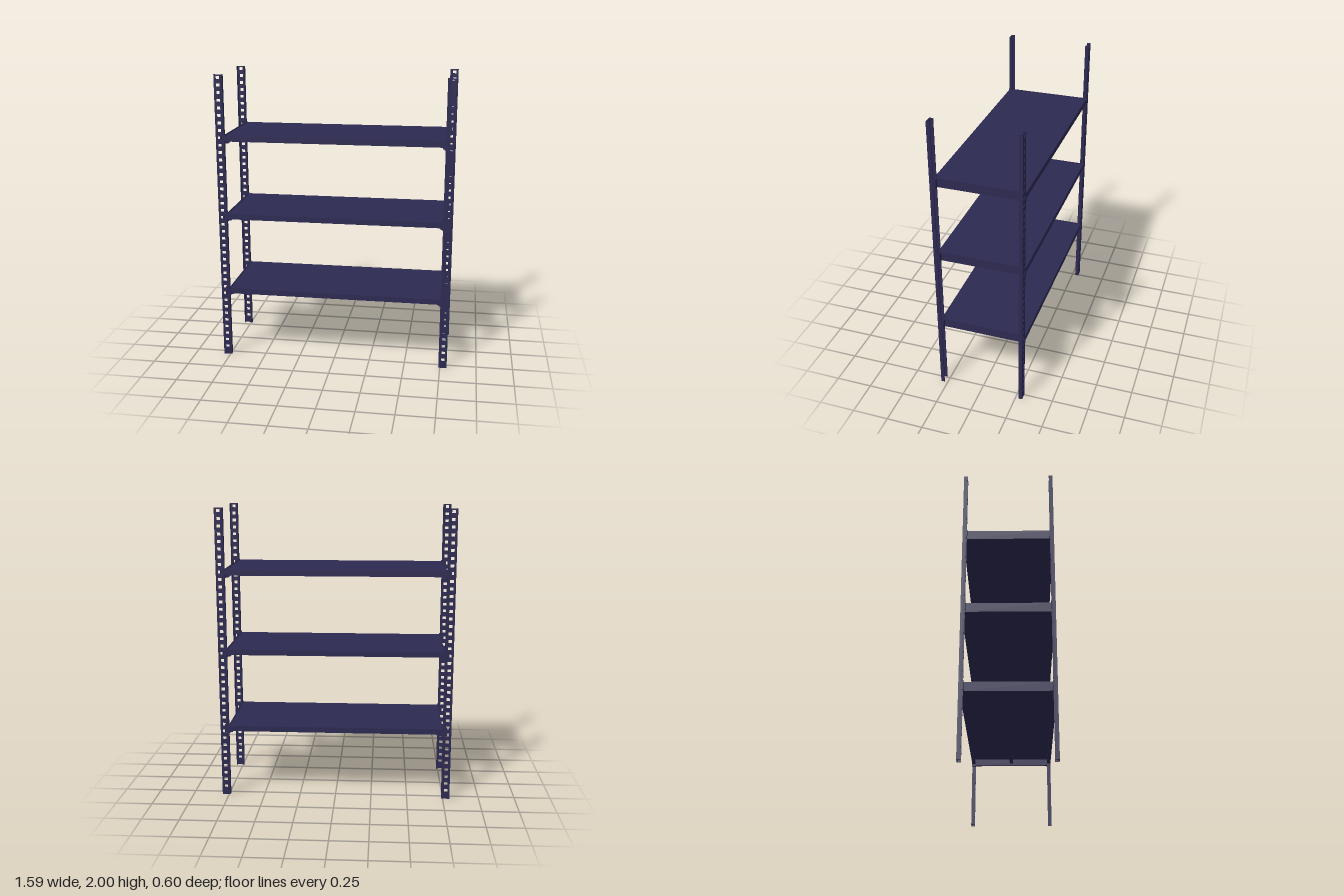
import * as THREE from 'three';

const paint = new THREE.MeshStandardMaterial({ color: 0x2d2a52 });
const T = 0.004; // sheet thickness

// Box given by its minimum and maximum corners
function sheet(name, x0, x1, y0, y1, z0, z1) {
  const mesh = new THREE.Mesh(new THREE.BoxGeometry(x1 - x0, y1 - y0, z1 - z0), paint);
  mesh.position.set((x0 + x1) / 2, (y0 + y1) / 2, (z0 + z1) / 2);
  mesh.name = name;
  return mesh;
}

// Perforated face of a post: one flat strip with a column of square holes
function perforatedFace() {
  const shape = new THREE.Shape();
  shape.moveTo(0.74, 0).lineTo(0.797, 0).lineTo(0.797, 2).lineTo(0.74, 2).closePath();
  for (let i = 0; i < 39; i++) {
    const y = 0.062 + i * 0.0505;
    const hole = new THREE.Path();
    hole.moveTo(0.758, y - 0.01).lineTo(0.758, y + 0.01)
      .lineTo(0.782, y + 0.01).lineTo(0.782, y - 0.01).closePath();
    shape.holes.push(hole);
  }
  return new THREE.ExtrudeGeometry(shape, { depth: T, bevelEnabled: false });
}

// Channel post in the +x, +z corner, open towards the inside of the rack
function post() {
  const g = new THREE.Group();
  const face = new THREE.Mesh(perforatedFace(), paint);
  face.position.z = 0.298 - T;
  face.name = 'perforatedFace';
  g.add(face);
  g.add(sheet('outerFlange', 0.797 - T, 0.797, 0, 2, 0.273, 0.298 - T));
  g.add(sheet('innerFlange', 0.74, 0.74 + T, 0, 2, 0.273, 0.298 - T));
  return g;
}

// Thin clip that hooks an end beam into the post
function clip(y0, y1) {
  const g = new THREE.Group();
  g.name = 'beamClip';
  g.add(sheet('clipInner', 0.736, 0.74, y0, y1, 0.272, 0.3));
  g.add(sheet('clipBack', 0.74, 0.768, y0, y1, 0.271, 0.273));
  g.add(sheet('clipOuter', 0.766, 0.768, y0, y1, 0.273, 0.294));
  g.add(sheet('clipFront', 0.74, 0.758, y0 + 0.012, y1 - 0.012, 0.298, 0.3));
  return g;
}

// Folded steel shelf with its top surface at y
function shelf(y) {
  const g = new THREE.Group();
  g.name = 'shelf';
  g.add(sheet('panel', -0.733, 0.733, y - T, y, -0.298, 0.298));
  g.add(sheet('centreStiffener', -0.738, 0.738, y - 0.034, y - T, -0.012, 0.012));
  for (const s of [-1, 1]) {
    const across = (name, x, y0, y1, a, b) =>
      g.add(sheet(name, -x, x, y0, y1, Math.min(s * a, s * b), Math.max(s * a, s * b)));
    across('longLip', 0.738, y - 0.038, y - T, 0.294, 0.298);
    across('longLipReturn', 0.733, y - 0.038, y - 0.034, 0.272, 0.294);
    // Taller beam closing each short end, with a small inward foot
    const along = (name, a, b, y0, y1, z) =>
      g.add(sheet(name, Math.min(s * a, s * b), Math.max(s * a, s * b), y0, y1, -z, z));
    along('endBeam', 0.733, 0.738, y - 0.055, y + 0.007, 0.293);
    along('endBeamFoot', 0.72, 0.733, y - 0.055, y - 0.051, 0.272);
  }
  return g;
}

export function createModel() {
  const rack = new THREE.Group();
  rack.name = 'shelvingRack';
  const levels = [0.505, 1.048, 1.591];

  // Four corners: rotate for the diagonal pair, mirror the channel in depth
  for (const sx of [-1, 1]) for (const sz of [-1, 1]) {
    const corner = new THREE.Group();
    corner.name = (sz > 0 ? 'front' : 'back') + (sx > 0 ? 'Left' : 'Right') + 'Post';
    corner.add(post());
    for (const y of levels) corner.add(clip(y - 0.055, y + 0.007));
    corner.scale.set(sx, 1, sz);
    rack.add(corner);
  }

  for (const y of levels) rack.add(shelf(y));
  return rack;
}
